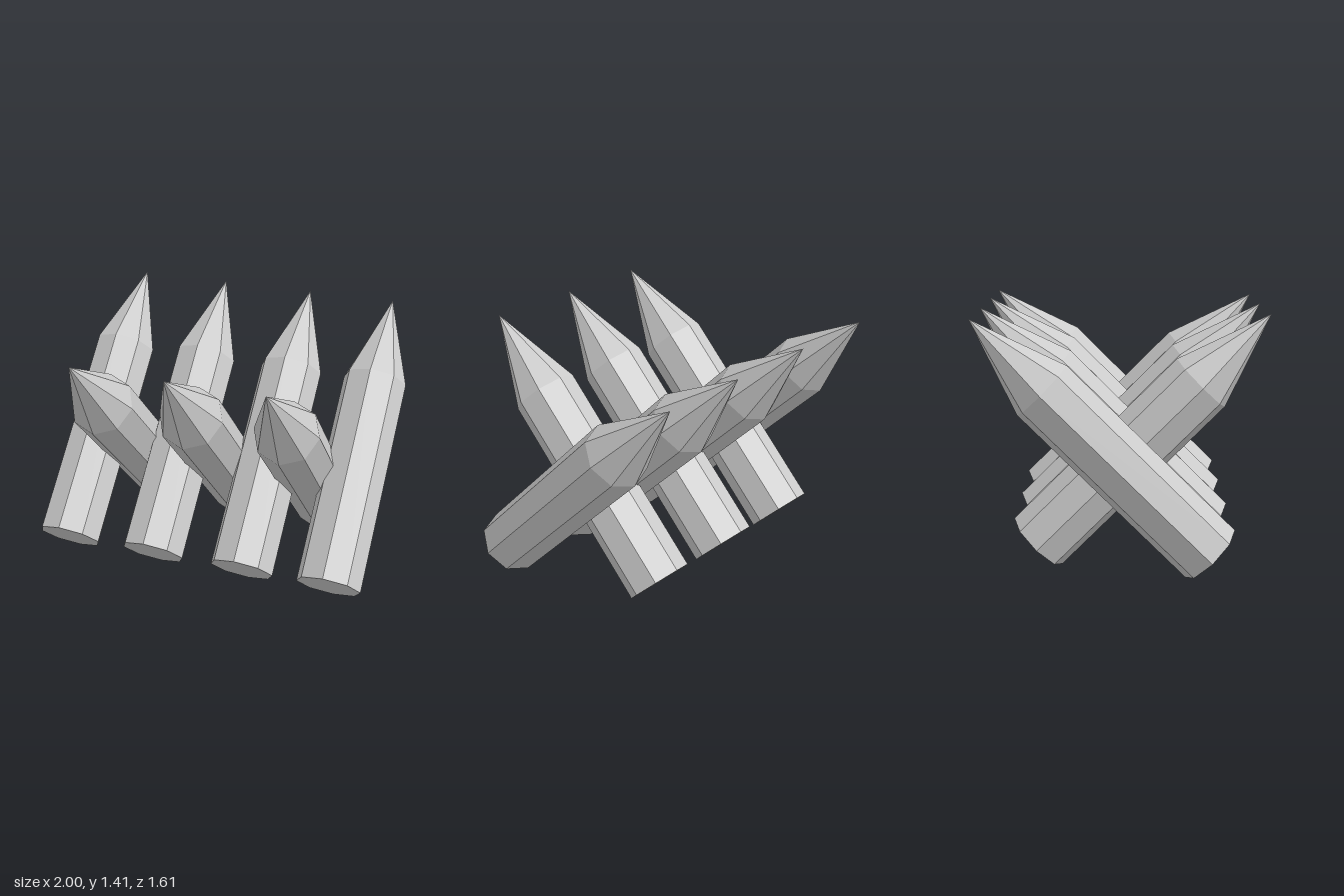
import * as THREE from 'three';

const RADIUS = 0.188;    // stake radius
const SHOULDER = 1.273;  // where the point begins
const LENGTH = 1.808;    // overall length to the tip
const FOOT_Y = 0.138;    // centre of the sawn foot
const FOOT_Z = 0.472;

export function createModel() {
  const model = new THREE.Group();
  model.name = 'stakeBarricade';
  const material = new THREE.MeshStandardMaterial({ color: 0xcccccc, flatShading: true });

  // Eight-sided stake: flat foot, straight shaft, long point
  const profile = [[0, 0], [RADIUS, 0], [RADIUS, SHOULDER], [0, LENGTH]]
    .map(([x, y]) => new THREE.Vector2(x, y));
  const stake = new THREE.LatheGeometry(profile, 8);

  // A row of parallel stakes; lean = 1 tips them forward, -1 backward
  function addRow(name, lean, xs) {
    const row = new THREE.Group();
    row.name = name;
    xs.forEach((x, i) => {
      const mesh = new THREE.Mesh(stake, material);
      mesh.name = `${name}Stake${i + 1}`;
      mesh.position.set(x, FOOT_Y, -lean * FOOT_Z);
      mesh.rotation.x = lean * Math.PI / 4;
      row.add(mesh);
    });
    model.add(row);
  }

  addRow('backwardLeaning', -1, [-0.812, -0.268, 0.289, 0.81]);
  addRow('forwardLeaning', 1, [-0.575, -0.03, 0.528]);
  return model;
}
